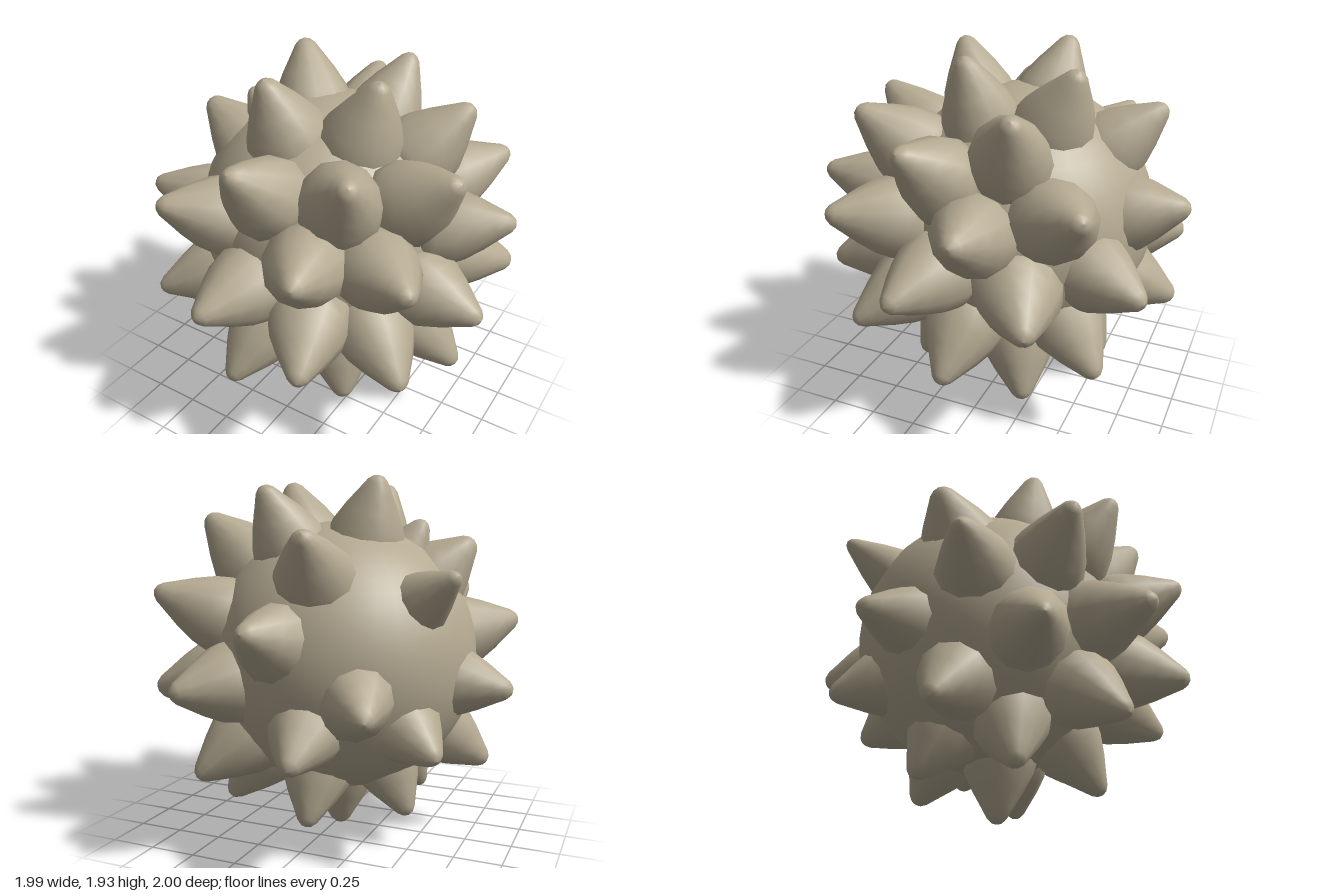
import * as THREE from 'three';

// Point from which the spikes radiate
const CENTRE = new THREE.Vector3(-0.02, 0.945, 0);

// Spike tips as [x, y, z, optional width factor], from the crown to the base
const TIPS = [
  // crown
  [-0.32, 1.93, -0.23], [-0.18, 1.91, 0.34], [0.33, 1.92, 0.1], [0.22, 1.88, -0.45],
  // upper ring, with one blunt double spike
  [-0.08, 1.63, 0.78], [0.47, 1.65, 0.63], [0.82, 1.58, 0.21], [0.65, 1.74, -0.28],
  [-0.16, 1.65, -0.8], [-0.73, 1.61, 0.1, 1.1], [-0.48, 1.71, 0.04, 0.95],
  [-0.8, 1.46, -0.48, 0.78],
  // middle rings
  [-0.53, 1.34, 0.79], [0.36, 1.25, 0.93], [0.8, 1.2, 0.64], [0.99, 1.25, -0.13],
  [0.74, 1.36, -0.66], [0.05, 1.21, -1.0], [-0.92, 1.18, 0.4],
  [-0.16, 0.92, 1.0], [0.99, 0.87, 0.22], [0.9, 0.8, -0.45, 1.08], [0.5, 0.88, -0.9],
  [-0.5, 0.83, -0.89], [-1.0, 0.87, -0.13],
  // lower ring
  [0.37, 0.7, 0.92], [-0.68, 0.72, 0.7], [-0.14, 0.39, 0.81], [0.75, 0.57, 0.57],
  [0.82, 0.37, 0.04], [0.5, 0.4, -0.69], [-0.14, 0.58, -0.93], [-0.74, 0.6, -0.57],
  [-0.82, 0.4, 0.17],
  // underside
  [-0.4, 0.16, 0.35], [0.32, 0.16, 0.4], [0.53, 0.17, -0.3], [-0.06, 0.17, -0.56],
  [-0.49, 0.17, -0.2], [-0.03, 0.0, -0.03],
];

// Small seeded generator for the uneven surface
function seeded(seed) {
  return () => {
    seed = (seed * 16807) % 2147483647;
    return seed / 2147483647;
  };
}

// A plump cone: bulging flanks and a small rounded tip
function spikeGeometry(length, width, random) {
  // [distance below the tip, radius]
  const profile = [
    [0.62, 0.17], [0.42, 0.225], [0.35, 0.212], [0.27, 0.188], [0.17, 0.137],
    [0.08, 0.082], [0.03, 0.052], [0.008, 0.028], [0, 0],
  ].map(([d, r]) => new THREE.Vector2(r * width, length - d));
  const geometry = new THREE.LatheGeometry(profile, 12, random() * Math.PI * 2);
  // Squash the round section a little, along a random direction
  const angle = random() * Math.PI;
  const amount = 0.03 + random() * 0.03;
  const position = geometry.attributes.position;
  for (let i = 0; i < position.count; i++) {
    const x = position.getX(i), z = position.getZ(i);
    const k = 1 + amount * Math.cos(2 * (Math.atan2(z, x) - angle));
    position.setX(i, x * k);
    position.setZ(i, z * k);
  }
  return geometry;
}

export function createModel() {
  const model = new THREE.Group();
  model.name = 'spikyBall';
  const stone = new THREE.MeshStandardMaterial({ color: 0xb5aa92 });
  stone.name = 'warm stone';

  // Round core, fuller towards the bare patch at the upper back
  const core = new THREE.Mesh(new THREE.SphereGeometry(0.72, 40, 28), stone);
  core.name = 'core';
  core.position.set(-0.06, 0.99, -0.06);
  model.add(core);

  // Spikes growing straight out of the core
  const spikes = new THREE.Group();
  spikes.name = 'spikes';
  const random = seeded(4217);
  const up = new THREE.Vector3(0, 1, 0);
  for (const [x, y, z, width = 1] of TIPS) {
    const axis = new THREE.Vector3(x, y, z).sub(CENTRE);
    const spike = new THREE.Mesh(spikeGeometry(axis.length(), width, random), stone);
    spike.name = 'spike';
    spike.position.copy(CENTRE);
    spike.quaternion.setFromUnitVectors(up, axis.normalize());
    spikes.add(spike);
  }
  model.add(spikes);
  return model;
}
